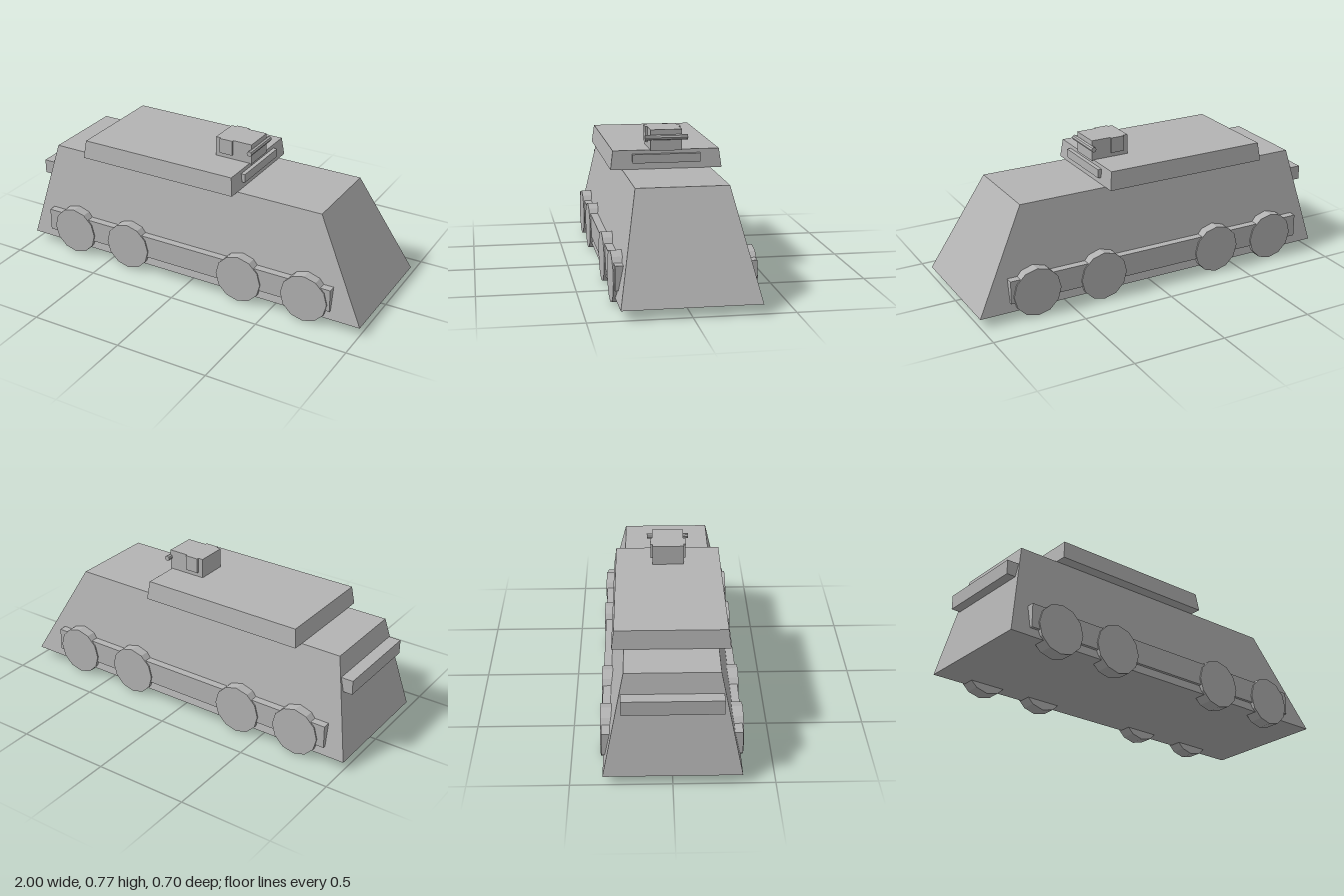
import * as THREE from 'three';

// Box whose bottom and top rectangles differ: each is [x0, x1, halfDepth]
function frustum(y0, y1, bottom, top) {
  const g = new THREE.BoxGeometry(1, 1, 1).toNonIndexed();
  const p = g.attributes.position;
  for (let i = 0; i < p.count; i++) {
    const up = p.getY(i) > 0;
    const [x0, x1, d] = up ? top : bottom;
    p.setXYZ(i, p.getX(i) > 0 ? x1 : x0, up ? y1 : y0, p.getZ(i) > 0 ? d : -d);
  }
  g.computeVertexNormals();
  return g;
}

// Box given by its limits on each axis
function block(x0, x1, y0, y1, z0, z1) {
  return new THREE.BoxGeometry(x1 - x0, y1 - y0, z1 - z0)
    .translate((x0 + x1) / 2, (y0 + y1) / 2, (z0 + z1) / 2);
}

export function createModel() {
  const model = new THREE.Group();
  const grey = new THREE.MeshStandardMaterial({ color: 0xb3b3b3, flatShading: true });
  const add = (name, geometry) => {
    const mesh = new THREE.Mesh(geometry, grey);
    mesh.name = name;
    model.add(mesh);
    return mesh;
  };

  // Sloped hull and the upper deck that overhangs it
  add('hull', frustum(0.048, 0.566, [-1, 1, 0.34], [-0.89, 0.72, 0.232]));
  add('upperDeck', frustum(0.566, 0.664, [-0.675, 0.243, 0.292], [-0.663, 0.232, 0.279]));
  add('visionSlit', block(0.2, 0.256, 0.599, 0.645, -0.178, 0.178));
  add('rearBox', block(-0.977, -0.88, 0.386, 0.462, -0.247, 0.247));

  // Turret with side hatches and a cross bar on its front
  add('turret', block(0.032, 0.241, 0.66, 0.77, -0.083, 0.083));
  for (const s of [1, -1]) {
    add('turretHatch', block(0.059, 0.133, 0.688, 0.77, -0.0055, 0.0055))
      .position.z = s * 0.0885;
  }
  const bar = add('crossBar', new THREE.CylinderGeometry(0.014, 0.014, 0.224, 8));
  bar.rotation.x = Math.PI / 2;
  bar.position.set(0.243, 0.73, 0);

  // Running gear on both sides
  for (const s of [1, -1]) {
    add('axleRail', block(-0.888, 0.834, 0.095, 0.218, -0.0275, 0.0275))
      .position.z = s * 0.318;
    for (const x of [-0.72, -0.37, 0.313, 0.69]) {
      const wheel = add('wheel', new THREE.CylinderGeometry(0.13, 0.13, 0.077, 12));
      wheel.rotation.x = Math.PI / 2;
      wheel.position.set(x, 0.13, s * 0.3135);
    }
  }
  return model;
}
